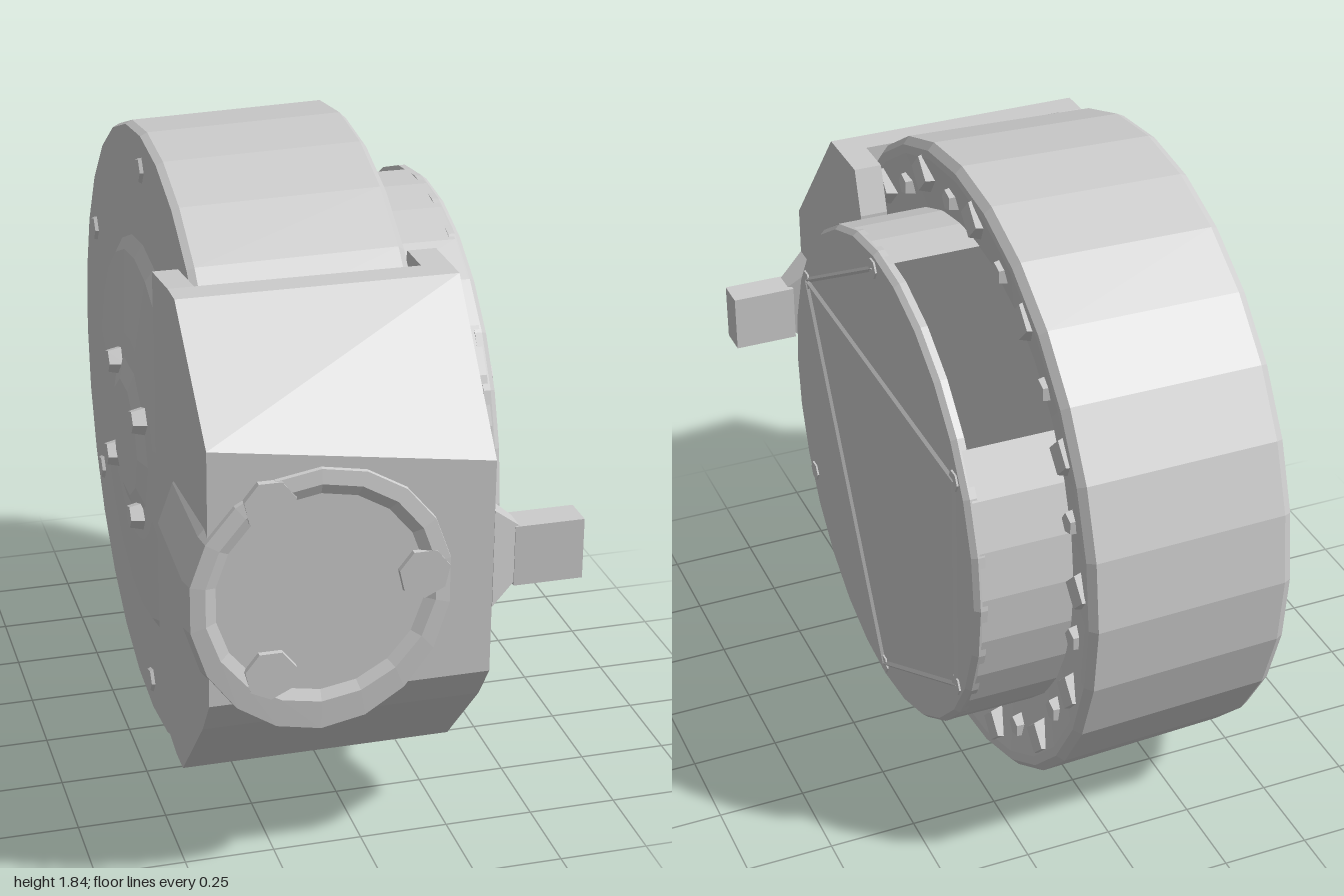
import * as THREE from 'three';

const CY = 0.923, CZ = -0.075; // shared axis of drum and motor (runs along x)
const mat = new THREE.MeshStandardMaterial({ color: 0xcccccc, flatShading: true, side: THREE.DoubleSide });

export function createModel() {
  const model = new THREE.Group();

  const add = (name, geo, x = 0, y = 0, z = 0) => {
    const m = new THREE.Mesh(geo, mat);
    m.name = name;
    m.position.set(x, y, z);
    model.add(m);
    return m;
  };

  // Solid turned around the drum axis; profile is [radius, x] pairs
  const turned = (name, profile, sides, start = 0, sweep = Math.PI * 2) => {
    const pts = profile.map(([r, x]) => new THREE.Vector2(r, x));
    const geo = new THREE.LatheGeometry(pts, sides, start, sweep);
    geo.rotateZ(-Math.PI / 2);
    return add(name, geo, 0, CY, CZ);
  };

  // Bolt lying along x, from x0 to x1
  const boltX = (name, r, x0, x1, y, z, sides = 6) => {
    const geo = new THREE.CylinderGeometry(r * 0.75, r, Math.abs(x1 - x0), sides);
    geo.rotateZ(x1 > x0 ? -Math.PI / 2 : Math.PI / 2);
    return add(name, geo, (x0 + x1) / 2, y, z);
  };

  // Slab cut from a [z, y] outline, from x0 to x1
  const slab = (name, outline, x0, x1) => {
    const shape = new THREE.Shape(outline.map(([z, y]) => new THREE.Vector2(-z, y)));
    const geo = new THREE.ExtrudeGeometry(shape, { depth: x1 - x0, bevelEnabled: false });
    geo.rotateY(Math.PI / 2);
    return add(name, geo, x0);
  };

  // Main drum; its right face slopes in towards the motor
  turned('drum', [[0, -0.41], [0.895, -0.41], [0.905, -0.39], [0.92, 0.16], [0.9, 0.18],
    [0.875, 0.178], [0.715, 0.14], [0, 0.14]], 28);

  // Bolts around the right face, wedge-shaped lugs between them
  for (let i = 0; i < 14; i++) {
    const a = (i + 0.3) / 14 * Math.PI * 2, b = a + Math.PI / 14;
    boltX('drumBolt', 0.04, 0.13, 0.18, CY + 0.79 * Math.sin(a), CZ + 0.79 * Math.cos(a), 5);
    boltX('drumLug', 0.07, 0.14, 0.188, CY + 0.825 * Math.sin(b), CZ + 0.825 * Math.cos(b), 4);
  }

  // Low bolts on the left face
  for (let i = 0; i < 6; i++) {
    const a = (i + 0.5) / 6 * Math.PI * 2;
    boltX('rearDrumBolt', 0.045, -0.4, -0.42, CY + 0.8 * Math.sin(a), CZ + 0.8 * Math.cos(a), 5);
  }

  // Left side cover, hub and hub bolts
  turned('sideCover', [[0, -0.465], [0.3, -0.455], [0.54, -0.435], [0.58, -0.41]], 24);
  turned('hub', [[0, -0.475], [0.17, -0.475], [0.24, -0.455]], 10);
  for (let i = 0; i < 4; i++) {
    const a = i / 4 * Math.PI * 2 + 0.6;
    boltX('hubBolt', 0.045, -0.45, -0.495, CY + 0.23 * Math.sin(a), CZ + 0.23 * Math.cos(a), 5);
  }

  // Hollow motor housing: rim open at the upper back, closed by a cover
  const gap = [6, 54].map(d => THREE.MathUtils.degToRad(d));
  turned('motorRim', [[0.715, 0.14], [0.715, 0.4]], 28,
    Math.PI * 1.5 - gap[0], Math.PI * 2 - (gap[1] - gap[0]));
  turned('motorCover', [[0.69, 0.38], [0.715, 0.385], [0.715, 0.405], [0.703, 0.42], [0, 0.42]], 28);

  // Six rim bolts, and thin ridges across the cover between some of them
  const rimPoint = i => {
    const a = Math.PI / 6 + i * Math.PI / 3;
    return [CY + 0.665 * Math.sin(a), CZ + 0.665 * Math.cos(a)];
  };
  for (let i = 0; i < 6; i++) boltX('motorBolt', 0.038, 0.38, 0.425, ...rimPoint(i));
  for (const [i, j] of [[0, 1], [0, 2], [0, 4], [2, 3], [3, 4]]) {
    const [y0, z0] = rimPoint(i), [y1, z1] = rimPoint(j);
    const geo = new THREE.BoxGeometry(0.014, 0.014, Math.hypot(y1 - y0, z1 - z0));
    geo.rotateZ(Math.PI / 4);
    const ridge = add('coverRidge', geo, 0.418, (y0 + y1) / 2, (z0 + z1) / 2);
    ridge.rotation.x = -Math.atan2(y1 - y0, z1 - z0);
  }

  // Front box with sloped top and bottom; its top right front corner sits lower
  const front = [[0.65, 0.24], [0.9, 0.5], [0.98, 0.61], [0.985, 1.33], [0.65, 1.61]];
  const box = slab('frontBox', [[0.57, 0.24], ...front, [0.57, 1.61]], -0.48, 0.28);
  const corners = box.geometry.attributes.position;
  for (let i = 0; i < corners.count; i++) {
    if (corners.getX(i) > 0.7 && Math.abs(corners.getY(i) - 1.33) < 0.01) corners.setY(i, 1.22);
  }

  // Side plates reaching back over the drum
  slab('leftPlate', [[0.38, 0.28], [0.57, 0.24], [0.57, 1.61], [0.38, 1.59]], -0.48, -0.41);
  slab('rightPlate', [[0.41, 0.33], [0.57, 0.24], [0.57, 1.61], [0.45, 1.61], [0.41, 1.48]], 0.2, 0.28);

  // Round front port with a shallow dish, its outer wall drooping at the bottom
  const port = new THREE.LatheGeometry(
    [[0.345, 0.6], [0.36, 0.95], [0.35, 0.995], [0.31, 1], [0.28, 0.987], [0, 0.987]]
      .map(([r, z]) => new THREE.Vector2(r, z)), 18);
  port.rotateX(Math.PI / 2);
  const wall = port.attributes.position;
  for (let i = 0; i < wall.count; i++) {
    const x = wall.getX(i), y = wall.getY(i);
    if (y < 0 && Math.hypot(x, y) > 0.33) wall.setY(i, y * 1.12);
  }
  add('frontPort', port, -0.185, 0.905, 0);

  // Port bolts
  for (const [x, y] of [[-0.32, 1.17], [0.09, 0.93], [-0.32, 0.69]]) {
    const geo = new THREE.CylinderGeometry(0.07, 0.075, 0.04, 7);
    geo.rotateX(Math.PI / 2);
    add('portBolt', geo, x, y, 0.98);
  }

  // Side lever on a flared base
  const flare = new THREE.CylinderGeometry(0.09, 0.17, 0.08, 4);
  flare.rotateY(Math.PI / 4);
  flare.rotateZ(-Math.PI / 2);
  flare.scale(1, 1.15, 0.5);
  add('leverBase', flare, 0.32, 0.94, 0.925);
  add('lever', new THREE.BoxGeometry(0.19, 0.17, 0.09), 0.44, 0.93, 0.92);

  return model;
}
